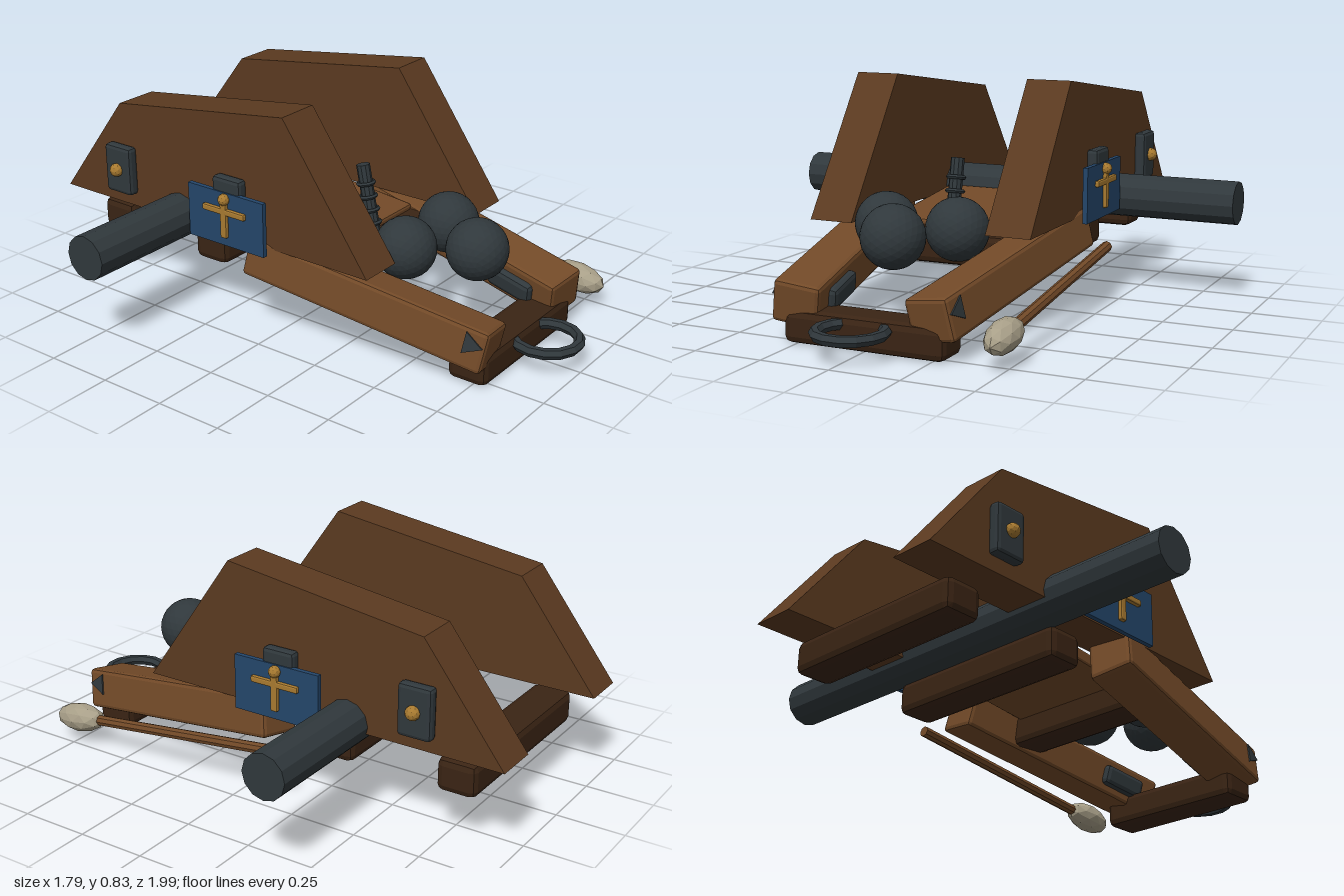
import * as THREE from 'three';
import { RoundedBoxGeometry } from 'three/addons/geometries/RoundedBoxGeometry.js';

const mat = (color) => new THREE.MeshStandardMaterial({ color, flatShading: true });

export function createModel() {
  const root = new THREE.Group();
  const wood = mat(0x5b3a20), railWood = mat(0x734a28), darkWood = mat(0x3a2414);
  const iron = mat(0x30383c), brass = mat(0xa87a30), blue = mat(0x24466a), wool = mat(0xa89f88);

  const add = (name, geo, material, x = 0, y = 0, z = 0, parent = root) => {
    const m = new THREE.Mesh(geo, material);
    m.name = name;
    m.position.set(x, y, z);
    parent.add(m);
    return m;
  };
  // Box with chamfered edges
  const chamfer = (w, h, d, r = 0.02) => new RoundedBoxGeometry(w, h, d, 1, r);

  // Side cheeks, profile drawn as (-z, y)
  const profile = new THREE.Shape([[-0.41, 0.34], [1, 0.34], [0.7, 0.73], [-0.06, 0.835]]
    .map(([a, b]) => new THREE.Vector2(a, b)));
  const cheekGeo = new THREE.ExtrudeGeometry(profile, { depth: 0.165, bevelEnabled: false });
  cheekGeo.translate(0, 0, -0.0825).rotateY(Math.PI / 2);

  for (const s of [-1, 1]) {
    const side = s > 0 ? 'left' : 'right';
    add(side + 'Cheek', cheekGeo, wood, s * 0.3395);

    // Sloping trail rail, converging to the front
    const rail = new THREE.Group();
    rail.name = side + 'Rail';
    rail.position.set(s * 0.305, 0.213, 0.345);
    rail.lookAt(s * 0.245, 0.135, 0.8);
    rail.rotateZ(s * 0.15);
    root.add(rail);
    add('railBeam', chamfer(0.165, 0.15, 0.93, 0.015), railWood, 0, 0, 0, rail);
    add('railInnerBracket', chamfer(0.05, 0.08, 0.19, 0.018), iron, -s * 0.085, 0, 0.285, rail);
    const tri = add('railCornerPlate', new THREE.CylinderGeometry(0.045, 0.045, 0.02, 3), iron, s * 0.078, 0.02, 0.41, rail);
    tri.rotation.set(0, 0, Math.PI / 2);

    // Iron plates, coloured panel and brass fittings on the cheek
    add(side + 'RearPlate', chamfer(0.045, 0.185, 0.125, 0.014), iron, s * 0.44, 0.483, -0.692);
    add(side + 'RearStud', new THREE.IcosahedronGeometry(0.026, 1), brass, s * 0.466, 0.485, -0.692);
    add(side + 'FrontPlate', chamfer(0.045, 0.185, 0.125, 0.014), iron, s * 0.44, 0.483, -0.167);
    add(side + 'Panel', new THREE.BoxGeometry(0.018, 0.2, 0.34), blue, s * 0.458, 0.425, -0.165);
    add(side + 'CrossUpright', chamfer(0.018, 0.14, 0.028, 0.006), brass, s * 0.473, 0.428, -0.165);
    add(side + 'CrossArm', chamfer(0.018, 0.024, 0.19, 0.006), brass, s * 0.473, 0.457, -0.165);
    add(side + 'CrossKnob', new THREE.IcosahedronGeometry(0.022, 1), brass, s * 0.473, 0.502, -0.165);
  }

  // Axle
  add('axle', new THREE.CylinderGeometry(0.081, 0.081, 1.79, 12), iron, 0, 0.365, -0.42)
    .rotation.z = Math.PI / 2;

  // Cross beams under the cheeks and at the nose
  add('rearCrossBeam', chamfer(0.74, 0.12, 0.145, 0.025), darkWood, 0, 0.24, -0.8);
  add('middleCrossBeam', chamfer(0.74, 0.12, 0.145, 0.025), darkWood, 0, 0.24, -0.333);
  add('frontCrossBeam', chamfer(0.6, 0.12, 0.145, 0.025), darkWood, 0, 0.24, 0.157);
  add('noseBeam', chamfer(0.59, 0.115, 0.15, 0.025), darkWood, 0, 0.06, 0.725);

  // Tilted bed board with the elevating screw
  add('bed', chamfer(0.49, 0.05, 0.48, 0.01), railWood, 0, 0.32, -0.105).rotation.x = 0.1;
  const screw = new THREE.Group();
  screw.name = 'elevatingScrew';
  screw.position.set(0, 0.28, 0.14);
  screw.rotation.x = -0.2;
  root.add(screw);
  add('screwShaft', new THREE.CylinderGeometry(0.025, 0.025, 0.27, 10), iron, 0, 0.135, 0, screw);
  for (let i = 0; i < 4; i++) {
    add('screwThread', new THREE.TorusGeometry(0.029, 0.008, 5, 12), iron, 0, 0.05 + i * 0.05, 0, screw)
      .rotation.x = Math.PI / 2;
  }

  // Round shot resting on the trail
  for (const [x, z] of [[-0.137, 0.37], [0.137, 0.37], [0, 0.577]]) {
    add('shot', new THREE.IcosahedronGeometry(0.111, 4), iron, x, 0.345, z);
  }

  // Towing ring
  add('towRing', new THREE.TorusGeometry(0.113, 0.02, 6, 14), iron, 0, 0.09, 0.865)
    .rotation.x = Math.PI / 2;

  // Swab carried along the left side
  const swab = new THREE.Group();
  swab.name = 'swab';
  swab.position.set(0.472, 0.1, 0.735);
  swab.lookAt(0.472, -0.01, 1.655);
  root.add(swab);
  add('swabHandle', new THREE.CylinderGeometry(0.02, 0.02, 0.93, 8), railWood, 0, 0, -0.465, swab)
    .rotation.x = Math.PI / 2;
  const head = add('swabHead', new THREE.IcosahedronGeometry(0.054, 1), wool, 0, 0, -0.005, swab);
  head.scale.set(1, 1, 2);

  return root;
}
